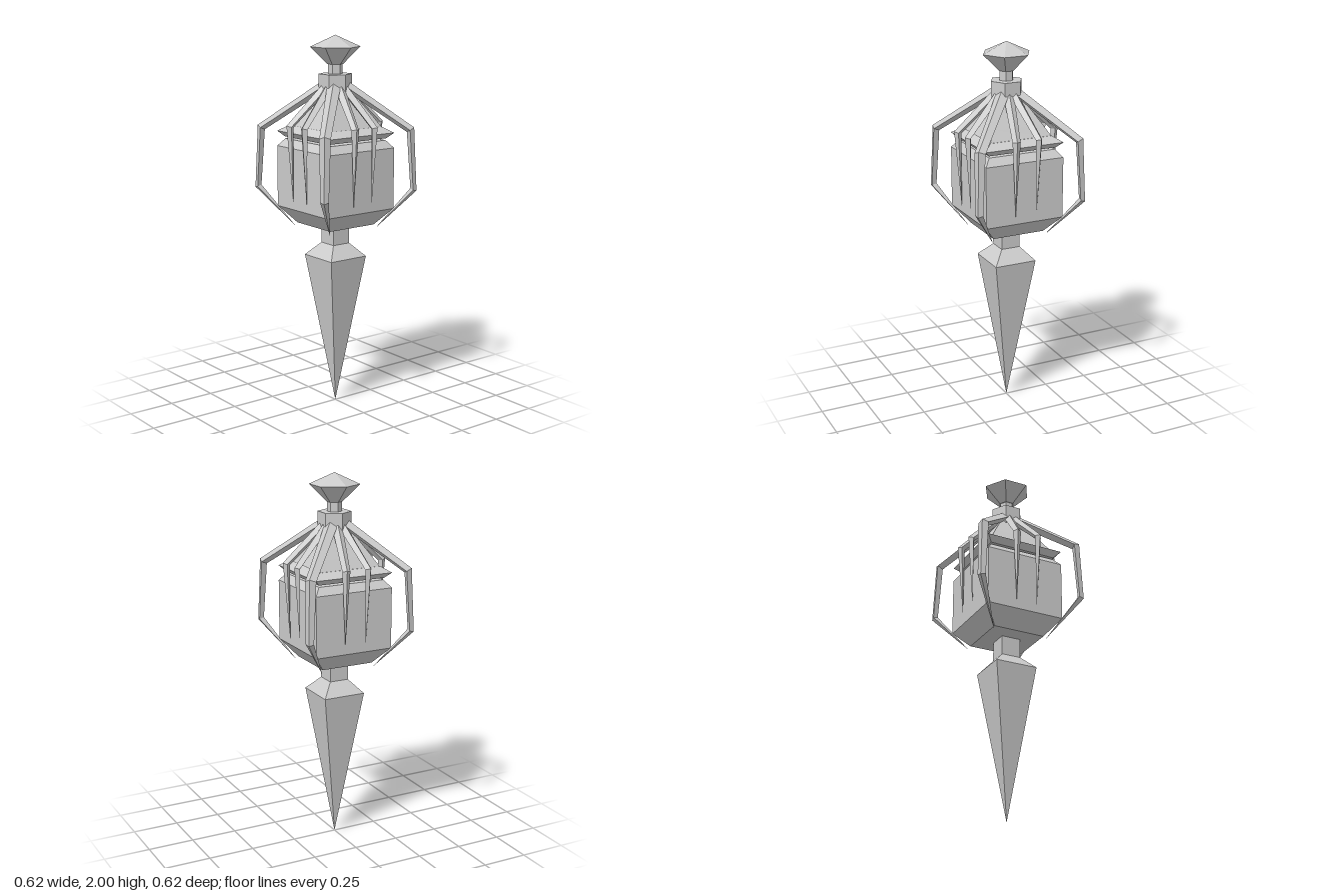
import * as THREE from 'three';

const material = new THREE.MeshStandardMaterial({ color: 0xcccccc, flatShading: true, side: THREE.DoubleSide });

// Faceted solid of revolution; profile is [half width or radius, y] from bottom to top
function turned(name, sides, profile) {
  const square = sides === 4;
  const points = profile.map(([r, y]) => new THREE.Vector2(square ? r * Math.SQRT2 : r, y));
  const mesh = new THREE.Mesh(new THREE.LatheGeometry(points, sides, square ? Math.PI / 4 : 0), material);
  mesh.name = name;
  return mesh;
}

// Tapering claw with a diamond section; each path point is [outer radius, y, half width, thickness]
function clawGeometry(path) {
  const positions = [], index = [];
  path.forEach(([r, y, w, t], i) => {
    const a = path[Math.max(i - 1, 0)], b = path[Math.min(i + 1, path.length - 1)];
    const n = new THREE.Vector2(a[1] - b[1], b[0] - a[0]).normalize();
    for (const [depth, side] of [[0, 0], [0.5, w], [1, 0], [0.5, -w]]) {
      positions.push(r - n.x * t * depth, y - n.y * t * depth, side);
    }
    if (i === 0) return;
    for (let k = 0; k < 4; k++) {
      const p = (i - 1) * 4 + k, q = (i - 1) * 4 + (k + 1) % 4;
      index.push(p, q, p + 4, q, q + 4, p + 4);
    }
  });
  const geometry = new THREE.BufferGeometry();
  geometry.setAttribute('position', new THREE.Float32BufferAttribute(positions, 3));
  geometry.setIndex(index);
  geometry.computeVertexNormals();
  return geometry;
}

export function createModel() {
  const group = new THREE.Group();

  // Square body, from the spike up to the roof
  group.add(
    turned('spike', 4, [[0, 0], [0.117, 0.825], [0.053, 0.895], [0, 0.895]]),
    turned('lowerNeck', 4, [[0.053, 0.89], [0.053, 1.01]]),
    turned('lanternBox', 4, [[0, 1.0], [0.145, 1.0], [0.22, 1.09], [0.22, 1.415], [0.188, 1.455], [0, 1.455]]),
    turned('lidGap', 4, [[0.13, 1.45], [0.13, 1.475]]),
    turned('lid', 4, [[0, 1.465], [0.19, 1.465], [0.22, 1.495], [0.175, 1.525], [0, 1.525]]),
    turned('roof', 4, [[0.175, 1.52], [0.14, 1.58], [0.06, 1.71], [0, 1.71]]),
  );

  // Hexagonal collar and gem finial
  group.add(
    turned('collar', 6, [[0, 1.69], [0.088, 1.69], [0.088, 1.8], [0, 1.8]]),
    turned('upperNeck', 6, [[0.038, 1.79], [0.038, 1.86]]),
    turned('gem', 6, [[0, 1.85], [0.042, 1.85], [0.132, 1.94], [0, 2.0]]),
  );

  // Long corner claws and paired short claws on every side
  const longClaw = clawGeometry([
    [0.07, 1.76, 0.036, 0.05], [0.415, 1.525, 0.029, 0.045],
    [0.432, 1.19, 0.022, 0.035], [0.215, 0.98, 0, 0],
  ]);
  const shortClaw = clawGeometry([
    [0.06, 1.76, 0.028, 0.045], [0.275, 1.54, 0.021, 0.04], [0.24, 1.13, 0, 0],
  ]);
  const addClaw = (name, geometry, angle) => {
    const claw = new THREE.Mesh(geometry, material);
    claw.name = name;
    claw.rotation.y = angle;
    group.add(claw);
  };
  for (let i = 0; i < 4; i++) {
    const angle = i * Math.PI / 2;
    addClaw('cornerClaw', longClaw, angle + Math.PI / 4);
    for (const s of [-1, 1]) addClaw('sideClaw', shortClaw, angle + s * 0.25);
  }
  return group;
}
